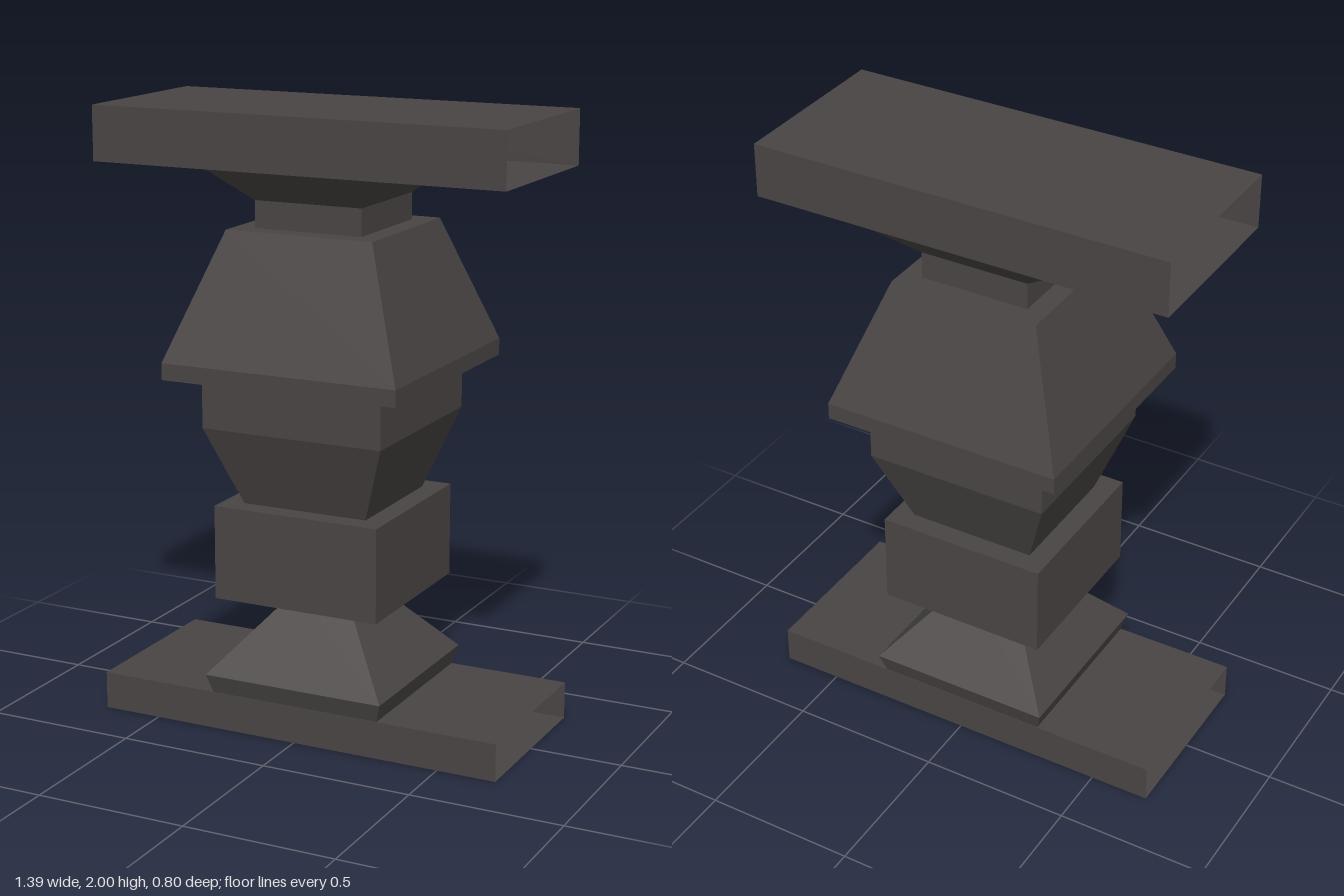
import * as THREE from 'three';

const darkStone = new THREE.MeshStandardMaterial({ color: 0x494544, side: THREE.DoubleSide });

// Square turned section: profile of [half width, height] from bottom to top
function squareSection(name, profile) {
  const points = profile.map(([w, y]) => new THREE.Vector2(w * Math.SQRT2, y));
  const geometry = new THREE.LatheGeometry(points, 4).rotateY(Math.PI / 4).toNonIndexed();
  geometry.computeVertexNormals();
  const mesh = new THREE.Mesh(geometry, darkStone);
  mesh.name = name;
  return mesh;
}

// Long slab sleeve, open at both x ends so its inside shows
function openSlab(name, bottom, top) {
  const geometry = new THREE.BoxGeometry(1.394, top - bottom, 0.588);
  geometry.setIndex(Array.from(geometry.index.array).slice(12)); // drop the +x and -x faces
  geometry.clearGroups();
  const mesh = new THREE.Mesh(geometry, darkStone);
  mesh.name = name;
  mesh.position.y = (bottom + top) / 2;
  return mesh;
}

export function createModel() {
  const model = new THREE.Group();
  model.name = 'pedestal';
  model.add(
    openSlab('basePlate', 0, 0.123),
    squareSection('foot', [[0.292, 0.123], [0.31, 0.185], [0.09, 0.442]]),
    squareSection('lowerBlock', [[0.09, 0.442], [0.284, 0.442], [0.284, 0.75], [0.214, 0.75]]),
    squareSection('waist', [[0.214, 0.75], [0.309, 1.008], [0.309, 1.173]]),
    squareSection('upperBody', [[0.309, 1.173], [0.4, 1.173], [0.4, 1.227], [0.25, 1.634], [0.183, 1.634]]),
    squareSection('neck', [[0.183, 1.634], [0.183, 1.721]]),
    squareSection('capital', [[0.183, 1.721], [0.294, 1.823]]),
    openSlab('topPlate', 1.823, 2)
  );
  return model;
}
